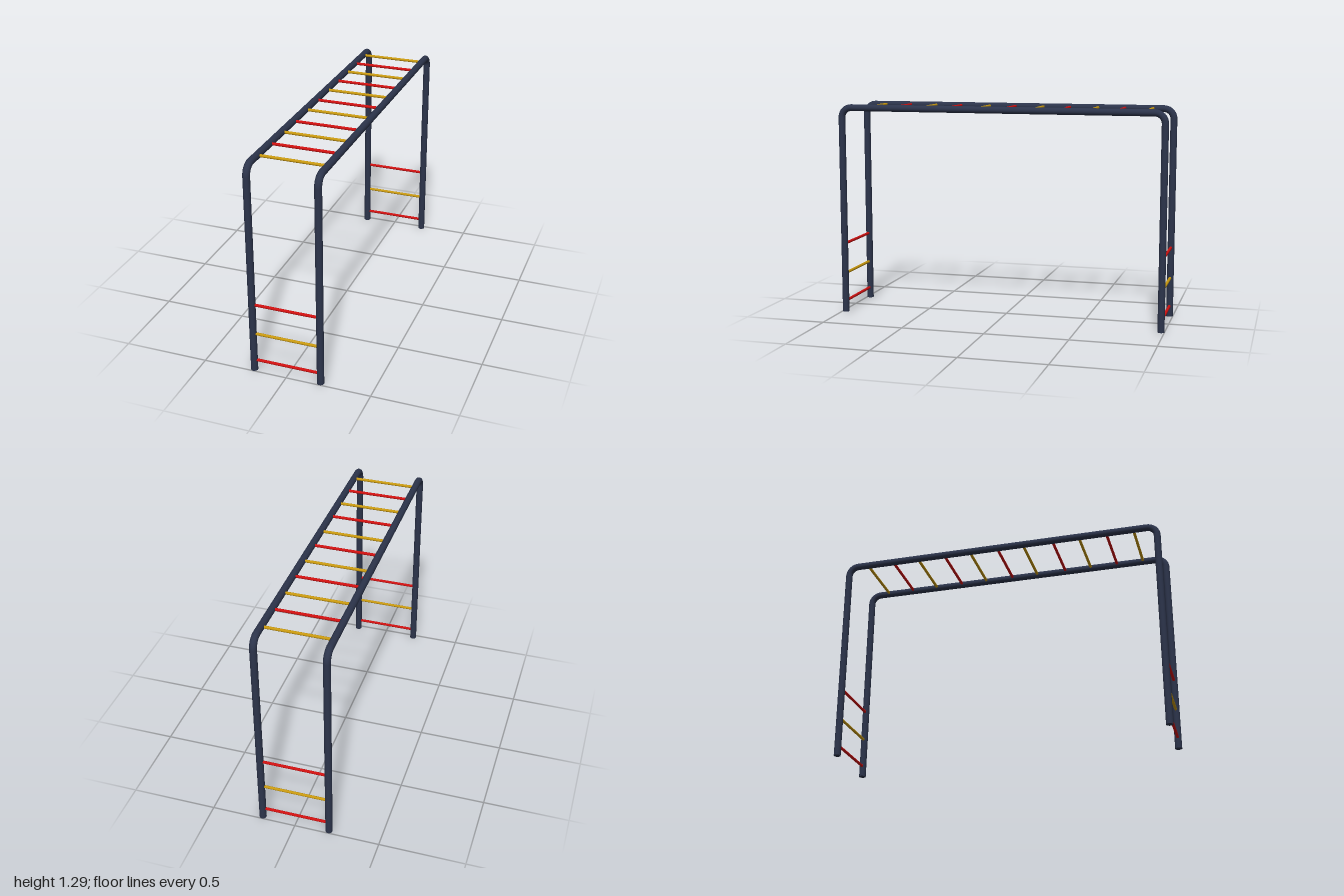
import * as THREE from 'three';
import { mergeGeometries } from 'three/addons/utils/BufferGeometryUtils.js';

const RAIL_X = 0.2, RAIL_Z = 0.98, RAIL_Y = 1.265;
const PIPE_R = 0.0205, BEND_R = 0.06, RUNG_R = 0.0085;

const mat = (name, color) => {
  const m = new THREE.MeshStandardMaterial({ color });
  m.name = name;
  return m;
};

// One bent pipe: two legs, two quarter bends and the overhead run, in the YZ plane
function railGeometry() {
  const legH = RAIL_Y - BEND_R, runZ = RAIL_Z - BEND_R;
  const parts = [new THREE.CylinderGeometry(PIPE_R, PIPE_R, runZ * 2, 20, 1, true)
    .rotateX(Math.PI / 2).translate(0, RAIL_Y, 0)];
  for (const s of [1, -1]) {
    parts.push(new THREE.CylinderGeometry(PIPE_R, PIPE_R, legH, 20).translate(0, legH / 2, s * RAIL_Z));
    parts.push(new THREE.TorusGeometry(BEND_R, PIPE_R, 20, 10, Math.PI / 2)
      .rotateY(-s * Math.PI / 2).translate(0, legH, s * runZ));
  }
  return mergeGeometries(parts);
}

export function createModel() {
  const model = new THREE.Group();
  model.name = 'monkeyBars';
  const navy = mat('navy pipe', 0x2c344b);
  const red = mat('red rung', 0xd01010);
  const yellow = mat('yellow rung', 0xc9990f);

  // Side rails
  const railGeo = railGeometry();
  for (const s of [1, -1]) {
    const rail = new THREE.Mesh(railGeo, navy);
    rail.name = s > 0 ? 'leftRail' : 'rightRail';
    rail.position.x = s * RAIL_X;
    model.add(rail);
  }

  // Rungs reach just inside the pipes
  const rungGeo = new THREE.CylinderGeometry(RUNG_R, RUNG_R, RAIL_X * 2 - 0.02, 12).rotateZ(Math.PI / 2);
  const addRung = (name, material, y, z) => {
    const rung = new THREE.Mesh(rungGeo, material);
    rung.name = name;
    rung.position.set(0, y, z);
    model.add(rung);
  };

  // Overhead rungs, alternating yellow and red
  [-0.857, -0.688, -0.524, -0.351, -0.185, -0.009, 0.155, 0.34, 0.505, 0.674, 0.839]
    .forEach((z, i) => addRung('overheadRung', i % 2 ? red : yellow, 1.266, z));

  // Climbing rungs at both ends
  for (const s of [1, -1]) {
    [0.066, 0.24, 0.427].forEach((y, i) => addRung('climbingRung', i % 2 ? yellow : red, y, s * RAIL_Z));
  }
  return model;
}
